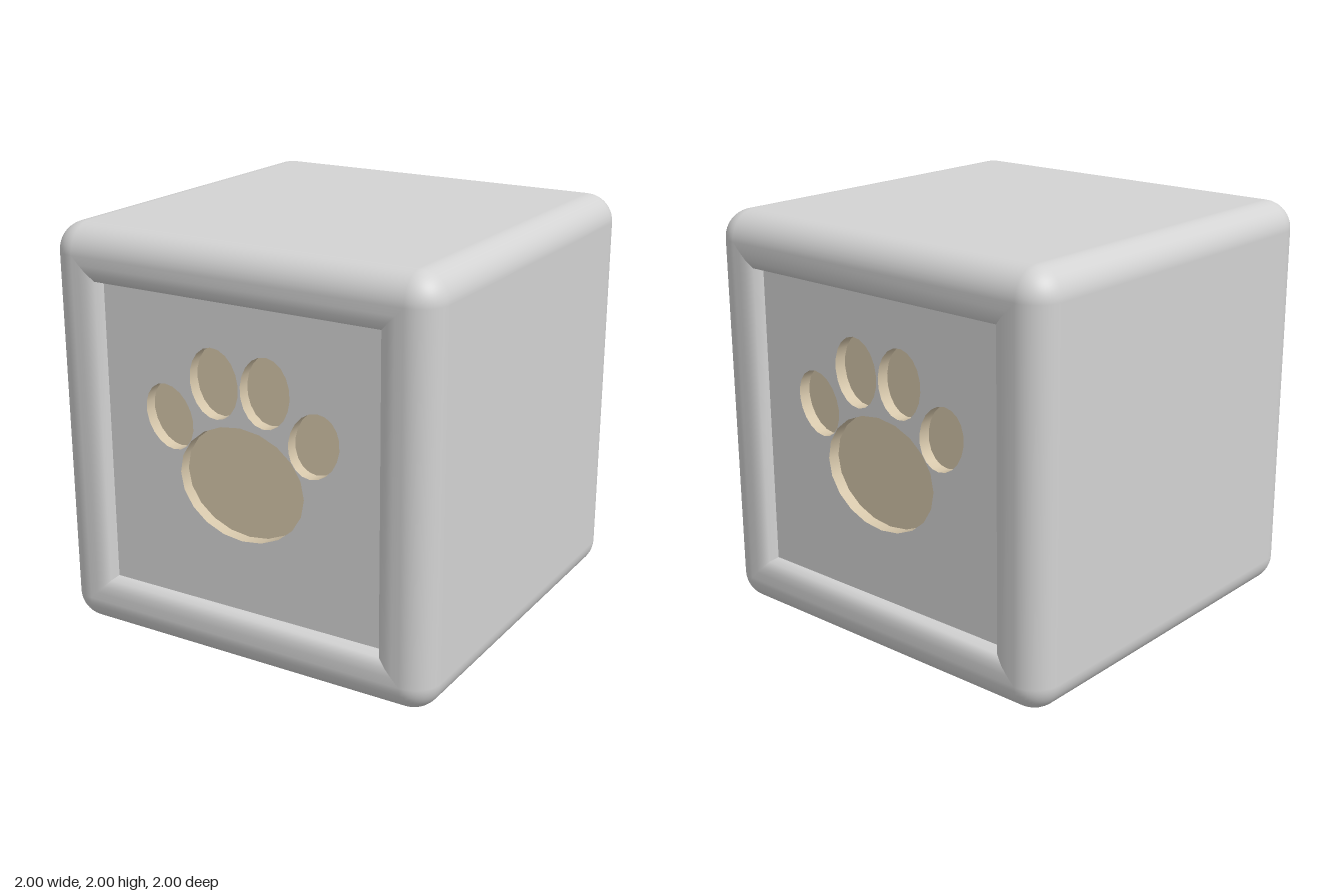
import * as THREE from 'three';
import { RoundedBoxGeometry } from 'three/addons/geometries/RoundedBoxGeometry.js';

const RADIUS = 0.14, FLOOR_Z = 0.93, POCKET = 0.06, SEG = 20;

// x, y (from the cube centre), half width, half height, tilt
const PADS = [
  ['mainPad', 0, -0.11, 0.335, 0.275, 0],
  ['innerLeftToe', 0.136, 0.35, 0.131, 0.168, 0.08],
  ['innerRightToe', -0.136, 0.35, 0.131, 0.168, -0.08],
  ['outerLeftToe', 0.387, 0.15, 0.127, 0.16, 0.38],
  ['outerRightToe', -0.387, 0.15, 0.127, 0.16, -0.38],
];

// Frame section from the rounded edge in to the sunken panel: [half size, z]
const FRAME = [[0.86, 1], [0.82, 1], [0.785, 0.996], [0.748, 0.98], [0.735, FLOOR_Z]];

// Rounded cube without its flat front and back faces
function bodyGeometry() {
  const src = new RoundedBoxGeometry(2, 2, 2, 6, RADIUS);
  const p = src.attributes.position, n = src.attributes.normal;
  const pos = [], nor = [];
  for (let i = 0; i < p.count; i += 3) {
    const z = [0, 1, 2].map((k) => p.getZ(i + k));
    if (z.every((v) => v > 0.9999) || z.every((v) => v < -0.9999)) continue;
    for (let k = i; k < i + 3; k++) {
      pos.push(p.getX(k), p.getY(k), p.getZ(k));
      nor.push(n.getX(k), n.getY(k), n.getZ(k));
    }
  }
  const g = new THREE.BufferGeometry();
  g.setAttribute('position', new THREE.Float32BufferAttribute(pos, 3));
  g.setAttribute('normal', new THREE.Float32BufferAttribute(nor, 3));
  return g;
}

// Four mitred sides, smooth along the section and sharp at the corners
function frameGeometry() {
  const pos = [], idx = [];
  for (let side = 0; side < 4; side++) {
    const a = side * Math.PI / 2, c = Math.cos(a), s = Math.sin(a);
    const base = pos.length / 3;
    FRAME.forEach(([r, z], i) => {
      for (const t of [-r, r]) pos.push(r * c - t * s, r * s + t * c, z);
      if (i > 0) {
        const o = base + (i - 1) * 2;
        idx.push(o, o + 1, o + 2, o + 1, o + 3, o + 2);
      }
    });
  }
  const g = new THREE.BufferGeometry();
  g.setAttribute('position', new THREE.Float32BufferAttribute(pos, 3));
  g.setIndex(idx);
  g.computeVertexNormals();
  return g;
}

// Flat panel with the paw cut out
function panelGeometry() {
  const h = FRAME[FRAME.length - 1][0];
  const shape = new THREE.Shape([[-h, -h], [h, -h], [h, h], [-h, h]].map(([x, y]) => new THREE.Vector2(x, y)));
  for (const [, x, y, rx, ry, tilt] of PADS) {
    const hole = new THREE.EllipseCurve(x, y, rx, ry, 0, Math.PI * 2, false, -tilt);
    shape.holes.push(new THREE.Path(hole.getPoints(SEG).slice(0, SEG)));
  }
  return new THREE.ShapeGeometry(shape).translate(0, 0, FLOOR_Z);
}

export function createModel() {
  const grey = new THREE.MeshStandardMaterial({ color: 0xd3d3d3 });
  grey.name = 'lightGrey';
  const tan = new THREE.MeshStandardMaterial({ color: 0xd5c6aa, side: THREE.DoubleSide });
  tan.name = 'tan';

  const model = new THREE.Group();
  model.name = 'pawBlock';
  const add = (parent, name, geometry, material) => {
    const mesh = new THREE.Mesh(geometry, material);
    mesh.name = name;
    parent.add(mesh);
    return mesh;
  };

  add(model, 'body', bodyGeometry(), grey).position.y = 1;

  // The same sunken panel on the front and the back
  for (const [name, turn] of [['frontPanel', 0], ['backPanel', Math.PI]]) {
    const face = new THREE.Group();
    face.name = name;
    face.position.y = 1;
    face.rotation.y = turn;
    model.add(face);
    add(face, 'frame', frameGeometry(), grey);
    add(face, 'panel', panelGeometry(), grey);

    // Engraved pockets: floor and wall
    for (const [padName, x, y, rx, ry, tilt] of PADS) {
      const place = (g) => g.scale(rx, ry, 1).rotateZ(-tilt);
      const pad = new THREE.Group();
      pad.name = padName;
      pad.position.set(x, y, FLOOR_Z - POCKET);
      face.add(pad);
      add(pad, 'pocketFloor', place(new THREE.CircleGeometry(1, SEG)), tan);
      const wall = new THREE.CylinderGeometry(1, 1, POCKET, SEG, 1, true).rotateX(Math.PI / 2);
      add(pad, 'pocketWall', place(wall.translate(0, 0, POCKET / 2)), tan);
    }
  }
  return model;
}
